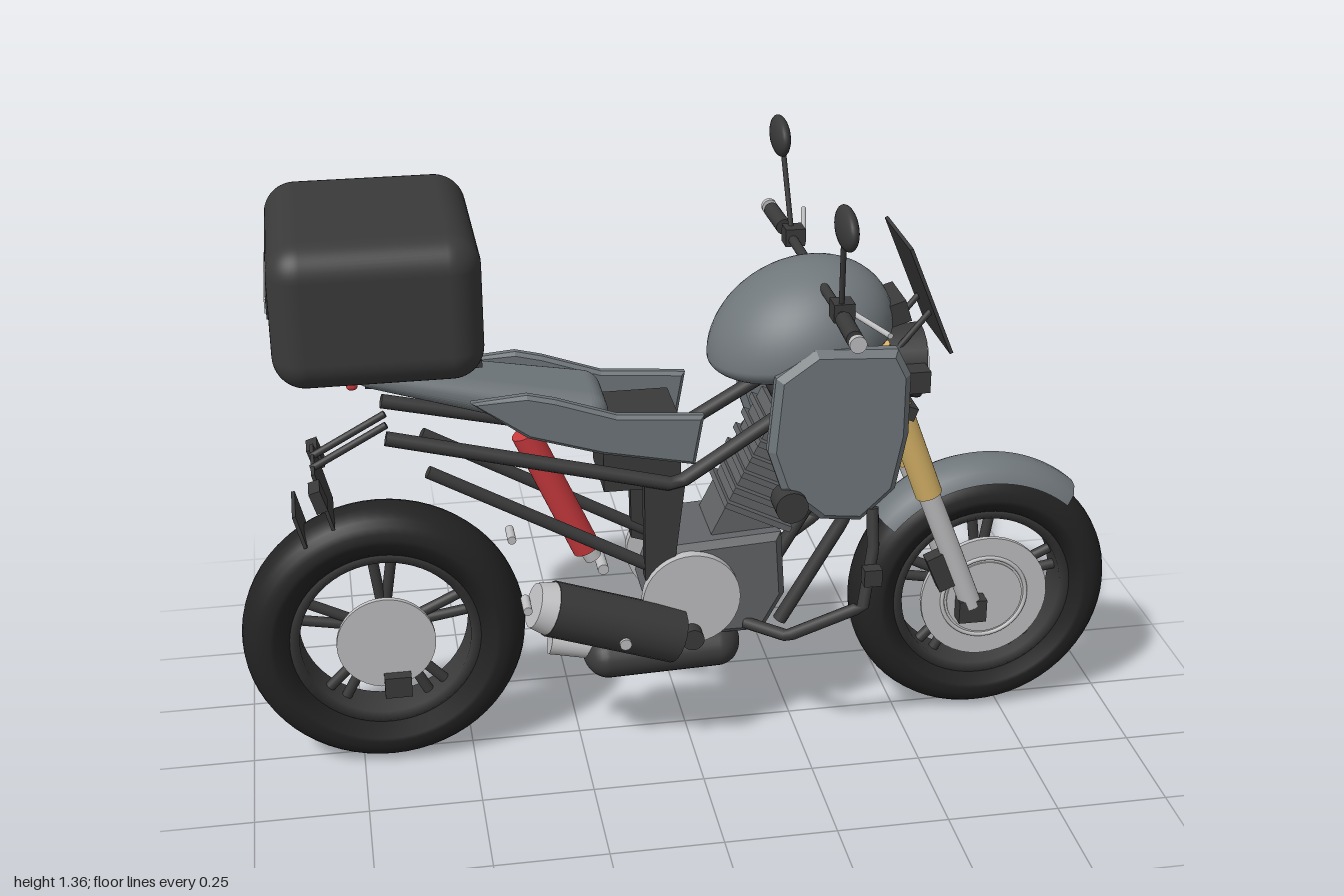
import * as THREE from 'three';
import { RoundedBoxGeometry } from 'three/addons/geometries/RoundedBoxGeometry.js';

const mat = (name, color) => {
  const m = new THREE.MeshStandardMaterial({ color, side: THREE.DoubleSide });
  m.name = name;
  return m;
};
const V = (p) => new THREE.Vector3(...p);

export function createModel() {
  const model = new THREE.Group();
  model.name = 'motorcycle';
  const body = mat('body grey', 0x70777b), black = mat('tyre black', 0x232323);
  const dark = mat('dark plastic', 0x3a3a3a), metal = mat('light metal', 0xc0c0c2);
  const gold = mat('gold', 0xd8b468), red = mat('red', 0xc93a3e), engineGrey = mat('engine grey', 0x626467);

  const add = (name, geo, material, pos = [0, 0, 0], rz = 0, parent = model) => {
    const m = new THREE.Mesh(geo, material);
    m.name = name;
    m.position.set(...pos);
    m.rotation.z = rz;
    parent.add(m);
    return m;
  };
  const box = (name, size, material, pos, rz, parent) =>
    add(name, new THREE.BoxGeometry(...size), material, pos, rz, parent);
  // straight round bar between two points
  const bar = (name, a, b, r, material, parent, r2 = r) => {
    const d = V(b).sub(V(a));
    const m = add(name, new THREE.CylinderGeometry(r2, r, d.length(), 20), material,
      V(a).add(V(b)).multiplyScalar(0.5).toArray(), 0, parent);
    m.quaternion.setFromUnitVectors(new THREE.Vector3(0, 1, 0), d.normalize());
    return m;
  };
  const pipe = (name, pts, r, material) => {
    const path = new THREE.CurvePath();
    for (let i = 1; i < pts.length; i++) path.add(new THREE.LineCurve3(V(pts[i - 1]), V(pts[i])));
    return add(name, new THREE.TubeGeometry(path, 30, r, 10), material);
  };
  // disc whose axis runs across the bike
  const disc = (name, r, t, material, pos, parent) =>
    add(name, new THREE.CylinderGeometry(r, r, t, 40).rotateX(Math.PI / 2), material, pos, 0, parent);
  // side profile extruded across the bike, centred on z
  const plate = (name, pts, width, bevel, material, z = 0) => {
    const shape = new THREE.Shape(pts.map(([x, y]) => new THREE.Vector2(x, y)));
    const geo = new THREE.ExtrudeGeometry(shape, {
      depth: width - 2 * bevel, bevelEnabled: bevel > 0, bevelSize: bevel, bevelOffset: -bevel,
      bevelThickness: bevel, bevelSegments: 1,
    });
    return add(name, geo.translate(0, 0, bevel - width / 2), material, [0, 0, z]);
  };
  const lathe = (pts, start = 0, length = Math.PI * 2) =>
    new THREE.LatheGeometry(pts.map((p) => new THREE.Vector2(...p)), 64, start, length).rotateX(Math.PI / 2);

  // wheels
  const wheel = (name, x, R, discR) => {
    const g = new THREE.Group();
    g.name = name;
    g.position.set(x, R, 0);
    model.add(g);
    const w = 0.07, profile = [[0.21, -0.05], [R - 0.07, -w]];
    for (let i = 0; i <= 12; i++) {
      const a = -Math.PI / 2 + (Math.PI * i) / 12;
      profile.push([R - 0.06 + 0.06 * Math.cos(a), w * Math.sin(a)]);
    }
    profile.push([R - 0.07, w], [0.21, 0.05], [0.21, -0.05]);
    add('tyre', lathe(profile), black, [0, 0, 0], 0, g);
    add('rim', lathe([[0.19, -0.045], [0.215, -0.052], [0.215, 0.052], [0.19, 0.045], [0.19, -0.045]]),
      dark, [0, 0, 0], 0, g);
    for (let i = 0; i < 5; i++) {
      const a = (i * Math.PI * 2) / 5 + 0.3;
      for (const s of [-0.12, 0.12]) {
        bar('spoke', [0.03 * Math.cos(a), 0.03 * Math.sin(a), 0],
          [0.2 * Math.cos(a + s), 0.2 * Math.sin(a + s), 0], 0.012, dark, g);
      }
    }
    disc('hub', 0.045, 0.12, dark, [0, 0, 0], g);
    disc('brakeDisc', discR, 0.012, metal, [0, 0, 0.062], g);
    return g;
  };
  wheel('rearWheel', -0.685, 0.316, 0.11);
  const front = wheel('frontWheel', 0.692, 0.306, 0.15);
  add('discRing', new THREE.TorusGeometry(0.1, 0.005, 8, 40), metal, [0, 0, 0.068], 0, front);
  disc('discCarrier', 0.09, 0.016, metal, [0, 0, 0.064], front);
  box('rearCaliper', [0.06, 0.05, 0.05], dark, [-0.665, 0.215, 0.07]);
  add('frontMudguard', lathe([[0.285, -0.065], [0.312, -0.052], [0.326, -0.025], [0.329, 0],
    [0.326, 0.025], [0.312, 0.052], [0.285, 0.065]], Math.PI - 0.72, 1.6), body, [0.692, 0.308, 0]);

  // forks and steering head
  for (const s of [-1, 1]) {
    bar('forkUpper', [0.405, 0.96, s * 0.09], [0.54, 0.595, s * 0.09], 0.031, gold);
    bar('forkLower', [0.53, 0.62, s * 0.088], [0.655, 0.3, s * 0.088], 0.025, metal);
    box('axleClamp', [0.065, 0.055, 0.04], dark, [0.655, 0.29, s * 0.09]);
  }
  box('frontCaliper', [0.07, 0.09, 0.035], dark, [0.59, 0.4, 0.085], 0.4);
  for (const [x, y] of [[0.415, 0.93], [0.455, 0.82]]) box('forkYoke', [0.08, 0.03, 0.25], dark, [x, y, 0], -0.37);
  bar('steeringHead', [0.36, 1.02, 0], [0.44, 0.79, 0], 0.035, dark);

  // headlight and screen
  bar('headlightShell', [0.43, 0.89, 0], [0.525, 0.885, 0], 0.075, dark, model, 0.085);
  bar('headlightLens', [0.524, 0.885, 0], [0.532, 0.885, 0], 0.077, metal);
  for (const s of [-1, 1]) {
    box('headlightBracket', [0.06, 0.05, 0.05], dark, [0.49, 0.885, s * 0.105]);
    bar('screenStay', [0.46, 0.93, s * 0.05], [0.535, 1.02, s * 0.05], 0.007, dark);
  }
  box('windscreen', [0.008, 0.265, 0.216], dark, [0.52, 1.063, 0], 0.387);
  box('instrumentPanel', [0.05, 0.05, 0.12], dark, [0.46, 1.02, 0], 0.3);

  // handlebar, controls and mirrors
  bar('handlebar', [0.285, 1.105, -0.42], [0.285, 1.105, 0.42], 0.011, dark);
  box('handlebarClamp', [0.06, 0.03, 0.08], dark, [0.285, 1.115, 0]);
  for (const s of [-1, 1]) {
    bar('grip', [0.28, 1.11, s * 0.29], [0.275, 1.113, s * 0.405], 0.018, dark);
    bar('barEnd', [0.275, 1.113, s * 0.422], [0.275, 1.113, s * 0.436], 0.018, metal);
    box('switchBlock', [0.045, 0.04, 0.045], dark, [0.29, 1.11, s * 0.235]);
    bar('lever', [0.31, 1.1, s * 0.22], [0.35, 1.113, s * 0.4], 0.006, metal);
    bar('mirrorStem', [0.287, 1.11, s * 0.24], [0.275, 1.29, s * 0.29], 0.006, dark);
    add('mirror', new THREE.SphereGeometry(1, 28, 18).scale(0.02, 0.045, 0.07), dark, [0.273, 1.318, s * 0.318]);
  }

  // fuel tank: a dome with a shallow underside
  const tank = new THREE.SphereGeometry(1, 48, 32), tp = tank.attributes.position;
  for (let i = 0; i < tp.count; i++) {
    const y = tp.getY(i);
    tp.setXYZ(i, tp.getX(i) * 0.205, y * (y > 0 ? 0.175 : 0.07) + tp.getX(i) * 0.035, tp.getZ(i) * 0.185);
  }
  tank.computeVertexNormals();
  add('fuelTank', tank, body, [0.255, 0.96, 0]);
  disc('fuelTankCore', 0.09, 0.2, dark, [0.27, 0.87, 0]);

  // tail and seat, tapering to the rear
  const seat = new RoundedBoxGeometry(0.56, 0.095, 0.21, 6, 0.045), sp = seat.attributes.position;
  for (let i = 0; i < sp.count; i++) {
    const k = Math.min(1, 0.4 + 0.6 * (sp.getX(i) + 0.28) / 0.3);
    sp.setY(i, 0.035 + (sp.getY(i) - 0.035) * k);
    sp.setZ(i, sp.getZ(i) * (0.4 + 0.6 * k));
  }
  seat.computeVertexNormals();
  add('seat', seat, body, [-0.455, 0.885, 0], -0.2);
  add('tailLight', new RoundedBoxGeometry(0.025, 0.025, 0.07, 3, 0.01), red, [-0.722, 0.927, 0]);

  // paired bodywork, frame rails, crash bars and foot pegs
  for (const s of [-1, 1]) {
    plate('tankShroud', [[0.15, 0.77], [0.18, 0.68], [0.27, 0.6], [0.36, 0.59], [0.435, 0.66], [0.46, 0.79],
      [0.46, 0.93], [0.43, 0.99], [0.25, 1.0], [0.165, 0.94]], 0.05, 0.015, body, s * 0.17);
    plate('seatSidePanel', [[-0.48, 0.91], [-0.36, 0.82], [-0.2, 0.77], [0.0, 0.73], [0.02, 0.845],
      [-0.17, 0.86], [-0.3, 0.905], [-0.36, 0.92]], 0.03, 0.008, body, s * 0.122);
    pipe('seatRail', [[-0.66, 0.83, s * 0.1], [-0.04, 0.68, s * 0.12], [0.3, 0.89, s * 0.1]], 0.016, dark);
    bar('lowerRail', [-0.575, 0.745, s * 0.1], [-0.07, 0.46, s * 0.1], 0.014, dark);
    plate('pivotPlate', [[-0.11, 0.45], [-0.05, 0.43], [-0.02, 0.68], [-0.11, 0.68]], 0.03, 0, dark, s * 0.105);
    pipe('downTube', [[0.4, 0.82, s * 0.05], [0.34, 0.55, s * 0.1], [0.2, 0.31, s * 0.1]], 0.016, dark);
    pipe('crashBar', [[0.385, 0.62, s * 0.185], [0.385, 0.53, s * 0.205], [0.36, 0.4, s * 0.23],
      [0.2, 0.315, s * 0.185], [0.12, 0.315, s * 0.11]], 0.014, dark);
    box('crashBarPad', [0.04, 0.04, 0.03], dark, [0.375, 0.48, s * 0.24]);
    disc('engineMount', 0.036, 0.06, dark, [0.2, 0.645, s * 0.18]);
    bar('riderPeg', [-0.17, 0.35, s * 0.13], [-0.17, 0.35, s * 0.225], 0.013, metal);
    bar('passengerPeg', [-0.38, 0.44, s * 0.14], [-0.38, 0.44, s * 0.2], 0.01, metal);
    disc('engineCover', 0.11, 0.025, metal, [-0.008, 0.4, s * 0.125]);
  }
  box('airbox', [0.17, 0.16, 0.18], dark, [-0.11, 0.74, 0]);

  // engine
  plate('crankcase', [[-0.1, 0.36], [-0.05, 0.29], [0.16, 0.29], [0.21, 0.38], [0.2, 0.535], [-0.05, 0.52]],
    0.23, 0.015, engineGrey);
  box('cylinder', [0.14, 0.32, 0.15], engineGrey, [0.18, 0.64, 0], -0.46);
  for (let i = 0; i < 6; i++) {
    box('coolingFin', [0.165, 0.014, 0.19], engineGrey, [0.15 + i * 0.018, 0.57 + i * 0.036, 0], -0.46);
  }

  // exhaust
  bar('silencer', [-0.33, 0.43, 0.175], [-0.045, 0.315, 0.14], 0.062, dark);
  bar('silencerCap', [-0.365, 0.443, 0.179], [-0.328, 0.429, 0.175], 0.05, metal, model, 0.06);
  disc('exhaustJoint', 0.025, 0.06, dark, [-0.01, 0.315, 0.14]);
  const pot = new THREE.CapsuleGeometry(0.055, 0.25, 10, 28).rotateZ(Math.PI / 2).scale(1, 1, 1.4);
  add('collector', pot, dark, [-0.065, 0.245, 0.055], 0.03);
  bar('exhaustOutlet', [-0.32, 0.282, 0.06], [-0.22, 0.26, 0.06], 0.03, metal);

  // rear shock absorber
  bar('shockSpring', [-0.355, 0.775, 0], [-0.225, 0.48, 0], 0.032, red);
  bar('shockEnd', [-0.23, 0.49, 0], [-0.21, 0.455, 0], 0.02, metal);

  // number plate holder and rear indicators
  for (const s of [-1, 1]) {
    bar('plateStay', [-0.655, 0.83, s * 0.03], [-0.82, 0.74, s * 0.03], 0.008, dark);
    box('rearIndicator', [0.025, 0.05, 0.06], dark, [-0.81, 0.71, s * 0.11], 0.3);
  }
  box('plateHolder', [0.008, 0.14, 0.16], dark, [-0.8, 0.68, 0], 0.25);
  box('mudFlap', [0.008, 0.08, 0.13], dark, [-0.855, 0.605, 0], 0.25);

  // top case on its rack
  add('topCase', new RoundedBoxGeometry(0.43, 0.31, 0.51, 6, 0.068), dark, [-0.665, 1.155, 0]);
  box('caseLatch', [0.02, 0.05, 0.3], dark, [-0.874, 1.16, 0]);
  box('caseStripe', [0.006, 0.03, 0.28], metal, [-0.884, 1.16, 0]);
  box('rackPlate', [0.31, 0.016, 0.22], dark, [-0.605, 0.99, 0]);
  for (const x of [-0.68, -0.52]) box('rackPost', [0.03, 0.06, 0.1], dark, [x, 0.955, 0]);
  return model;
}
